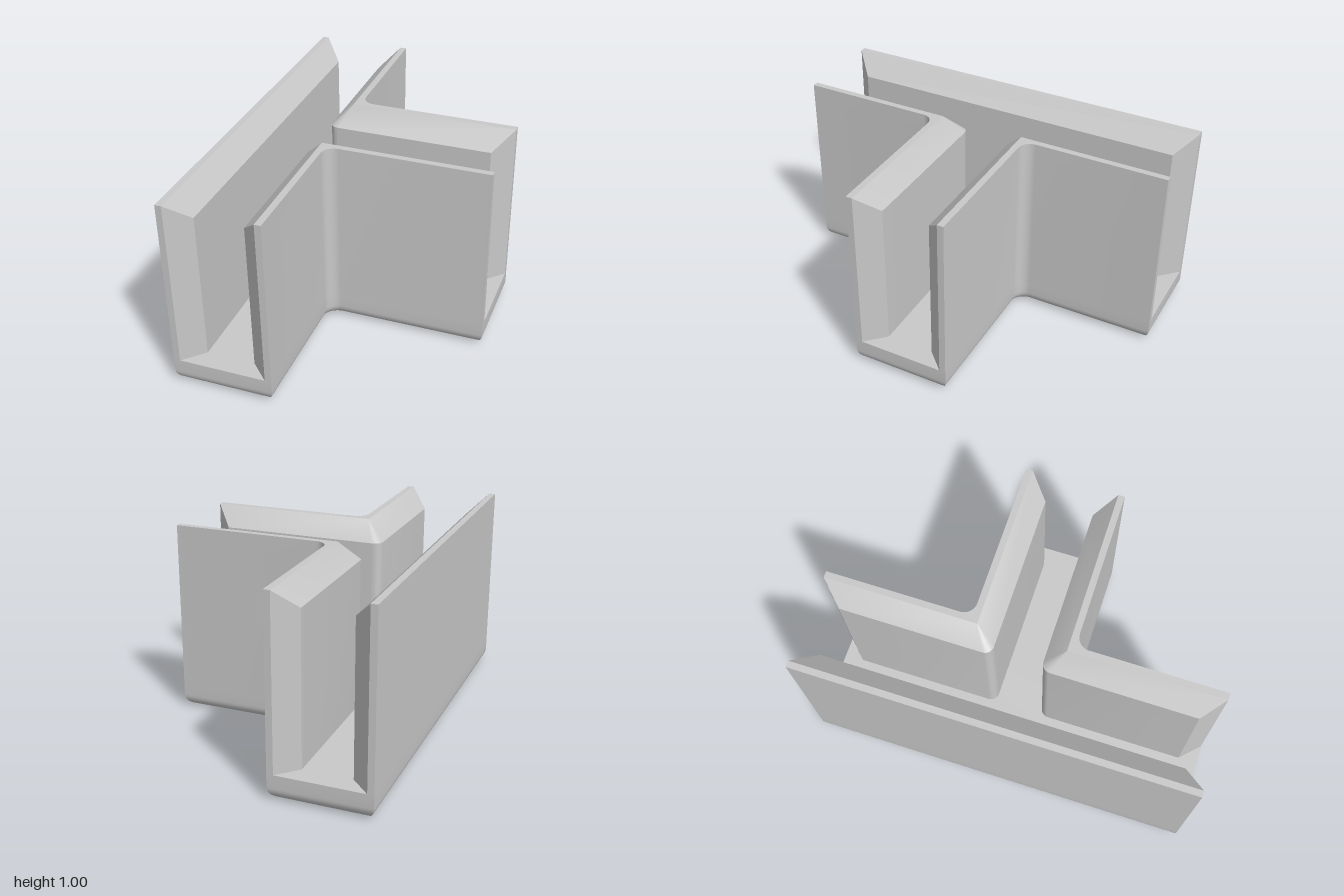
import * as THREE from 'three';
import { toCreasedNormals } from 'three/addons/utils/BufferGeometryUtils.js';

const X0 = -0.667, X1 = 0.667;   // back of the long wall, end of the branch
const XS = -0.157, ZS = 0.255;   // outer faces of the side walls
const THIN = 0.033;              // wall thickness at the rims
const CH = 0.098;                // lead-in chamfer
const R = 0.065;                 // outer fillet and bottom rounding
const RI = 0.045;                // inner corner fillet
const FLOOR = 0.132;

const mirror = (pts) => pts.map(([x, s]) => [x, -s]).reverse();

function arc(cx, cy, r, a0, a1, n = 10) {
  return Array.from({ length: n + 1 }, (_, i) => {
    const a = a0 + ((a1 - a0) * i) / n;
    return [cx + r * Math.cos(a), cy + r * Math.sin(a)];
  });
}

// Joins matching counterclockwise [x, -z] rings at rising heights, with flat caps.
function loft(layers, capBottom) {
  const pos = [];
  const tri = (a, b, c) => {
    const n = b.clone().sub(a).cross(c.clone().sub(a));
    if (n.length() > 1e-9) for (const v of [a, b, c]) pos.push(v.x, v.y, v.z);
  };
  const rings = layers.map(({ y, ring }) => ring.map(([x, s]) => new THREE.Vector3(x, y, -s)));
  for (let k = 0; k + 1 < rings.length; k++) {
    const lo = rings[k], hi = rings[k + 1];
    for (let i = 0; i < lo.length; i++) {
      const j = (i + 1) % lo.length;
      tri(lo[i], lo[j], hi[j]);
      tri(lo[i], hi[j], hi[i]);
    }
  }
  const cap = (k, up) => {
    const contour = layers[k].ring.map(([x, s]) => new THREE.Vector2(x, s));
    for (const [a, b, c] of THREE.ShapeUtils.triangulateShape(contour, [])) {
      if (up) tri(rings[k][a], rings[k][b], rings[k][c]);
      else tri(rings[k][a], rings[k][c], rings[k][b]);
    }
  };
  cap(rings.length - 1, true);
  if (capBottom) cap(0, false);
  const geo = new THREE.BufferGeometry();
  geo.setAttribute('position', new THREE.Float32BufferAttribute(pos, 3));
  return toCreasedNormals(geo, Math.PI / 6);
}

// T-shaped outline, inset by d
function tOutline(d) {
  const lower = [
    [X0 + d, -1 + d], [XS - d, -1 + d],
    ...arc(XS + R, -ZS - R, R + d, Math.PI, Math.PI / 2),
    [X1 - d, -ZS + d],
  ];
  return [...lower, ...mirror(lower)];
}

// Long straight wall; the inner face is bevelled at the ends and the rim
function longWallRing(top) {
  const xi = X0 + THIN, c = top ? 0 : CH;
  return [[X0, -1], [xi, -1], [xi + c, -1 + c], [xi + c, 1 - c], [xi, 1], [X0, 1]];
}

// L-shaped wall running from the main channel into the branch
function cornerWallRing(top) {
  const xi = XS - THIN, zi = ZS - THIN, c = top ? 0 : CH, r = top ? 0 : RI;
  return [
    [X1, zi], [X1, ZS],
    ...arc(XS + R, ZS + R, R, -Math.PI / 2, -Math.PI),
    [XS, 1], [xi, 1], [xi - c, 1 - c],
    ...arc(xi - c + r, zi - c + r, r, Math.PI, Math.PI * 1.5),
    [X1 - c, zi - c],
  ];
}

export function createModel() {
  const model = new THREE.Group();
  model.name = 'teeChannel';
  const grey = new THREE.MeshStandardMaterial({ color: 0xc8c8c8 });
  grey.name = 'lightGrey';

  const add = (name, geo) => {
    const mesh = new THREE.Mesh(geo, grey);
    mesh.name = name;
    model.add(mesh);
  };

  // Floor slab with rounded bottom edges
  const N = 8, layers = [];
  for (let i = 0; i <= N; i++) {
    const a = (i / N) * Math.PI / 2;
    layers.push({ y: R * (1 - Math.cos(a)), ring: tOutline(R * (1 - Math.sin(a))) });
  }
  layers.push({ y: FLOOR, ring: tOutline(0) });
  add('floor', loft(layers, true));

  // Walls standing on the floor
  const wall = (ring, flip = (p) => p) => loft([
    { y: FLOOR, ring: flip(ring(false)) },
    { y: 1 - CH, ring: flip(ring(false)) },
    { y: 1, ring: flip(ring(true)) },
  ], false);
  add('longWall', wall(longWallRing));
  add('backCornerWall', wall(cornerWallRing));
  add('frontCornerWall', wall(cornerWallRing, mirror));

  return model;
}
